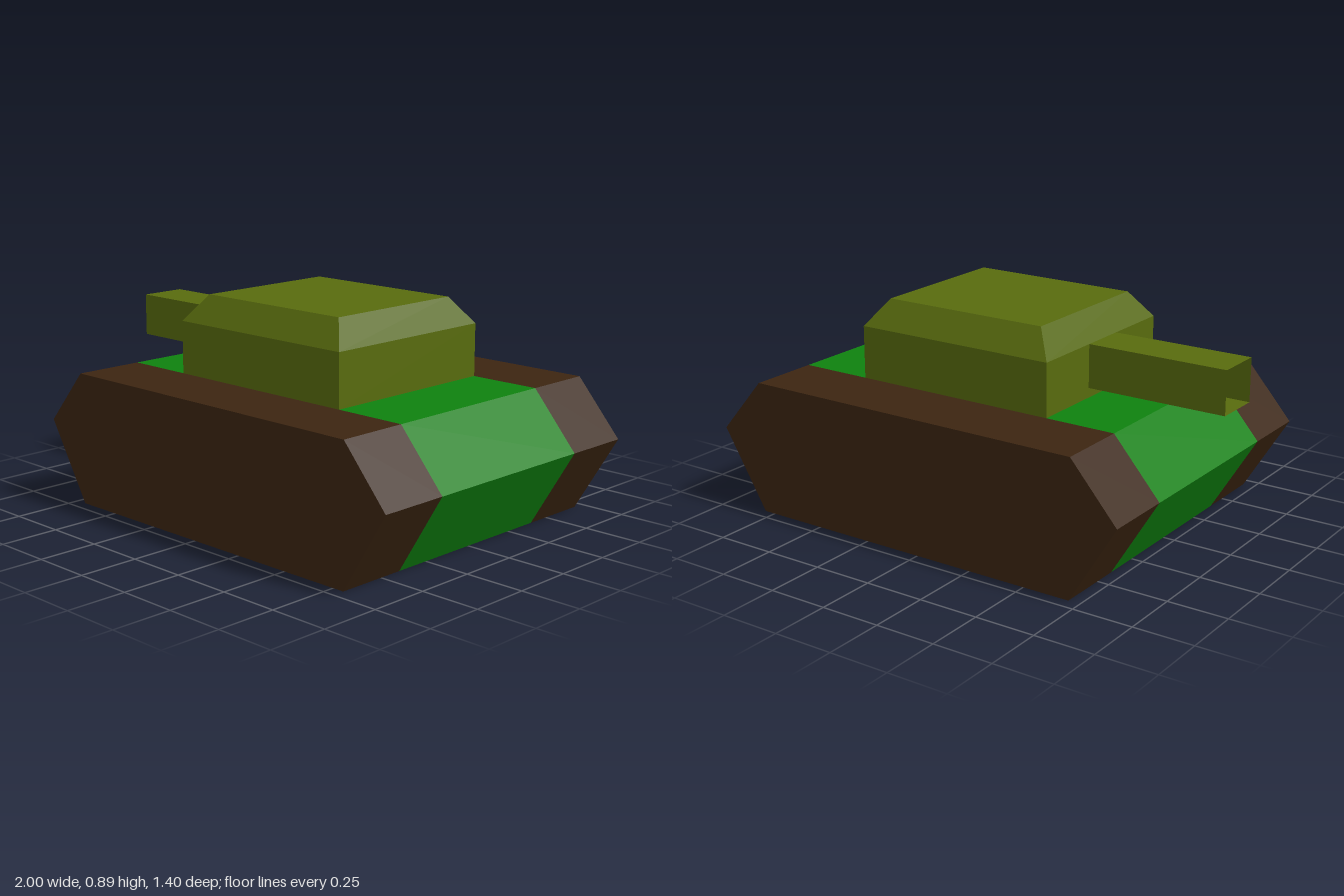
import * as THREE from 'three';

const flat = (name, color) =>
  Object.assign(new THREE.MeshStandardMaterial({ color, flatShading: true, side: THREE.DoubleSide }), { name });

// One mesh from a list of four-cornered panels
function panels(name, quads, material) {
  const positions = quads.flatMap(([a, b, c, d]) => [a, b, c, a, c, d].flat());
  const geometry = new THREE.BufferGeometry();
  geometry.setAttribute('position', new THREE.Float32BufferAttribute(positions, 3));
  geometry.computeVertexNormals();
  const mesh = new THREE.Mesh(geometry, material);
  mesh.name = name;
  return mesh;
}

// Panels between two matching rings of corners
const bridge = (lower, upper) =>
  lower.map((p, i) => {
    const j = (i + 1) % lower.length;
    return [p, lower[j], upper[j], upper[i]];
  });

export function createModel() {
  const model = new THREE.Group();
  model.name = 'tank';
  const brown = flat('track brown', 0x3c2511);
  const green = flat('hull green', 0x0f820f);
  const olive = flat('turret olive', 0x586b0e);

  // Side outline, running over the top from one lower corner to the other; the underside is open
  const outline = [[0.8, 0], [1, 0.33], [0.8, 0.56], [-0.7, 0.56], [-0.9, 0.33], [-0.7, 0]];
  const band = (from, to, z0, z1) =>
    [[...from, z0], [...to, z0], [...to, z1], [...from, z1]];

  // Tracks: outer side wall and the strip wrapped over it
  for (const side of [1, -1]) {
    const z0 = side > 0 ? 0.4 : -0.7, z1 = z0 + 0.3;
    const strip = outline.slice(1).map((p, i) => band(outline[i], p, z0, z1));
    const track = new THREE.Group();
    track.name = side > 0 ? 'frontTrack' : 'backTrack';
    track.add(panels('trackStrip', strip, brown));
    const wall = new THREE.Mesh(
      new THREE.ShapeGeometry(new THREE.Shape(outline.map(([x, y]) => new THREE.Vector2(x, y)))), brown);
    wall.name = 'trackWall';
    if (side < 0) wall.rotation.y = Math.PI, wall.scale.x = -1;
    wall.position.z = side * 0.7;
    track.add(wall);
    model.add(track);
  }

  // Hull: sloped ends and deck, open beneath the turret
  const [a, b, c, d, e, f] = outline;
  const hull = [[a, b], [b, c], [c, [0.49, 0.56]], [[-0.4, 0.56], d], [d, e], [e, f]]
    .map(([p, q]) => band(p, q, -0.4, 0.4));
  model.add(panels('hull', hull, green));

  // Turret: hollow box with a bevelled roof and an opening at the gun
  const ring = (x0, x1, z, y) => [[x0, y, z], [x1, y, z], [x1, y, -z], [x0, y, -z]];
  const base = ring(-0.4, 0.49, 0.4, 0.56);
  const shoulder = ring(-0.4, 0.49, 0.4, 0.78);
  const roof = ring(-0.32, 0.41, 0.32, 0.89);
  const gunWall = (y0, y1, z0, z1) =>
    [[-0.4, y0, z0], [-0.4, y0, z1], [-0.4, y1, z1], [-0.4, y1, z0]];
  model.add(panels('turret', [
    ...bridge(base, shoulder).slice(0, 3),
    gunWall(0.56, 0.78, -0.4, -0.1),
    gunWall(0.56, 0.6, -0.1, 0.1),
    gunWall(0.56, 0.78, 0.1, 0.4),
    ...bridge(shoulder, roof),
    roof,
  ], olive));

  // Gun: square tube with an open muzzle
  const section = x => [[x, 0.6, -0.1], [x, 0.6, 0.1], [x, 0.78, 0.1], [x, 0.78, -0.1]];
  model.add(panels('gun', bridge(section(-1), section(-0.4)), olive));

  return model;
}
